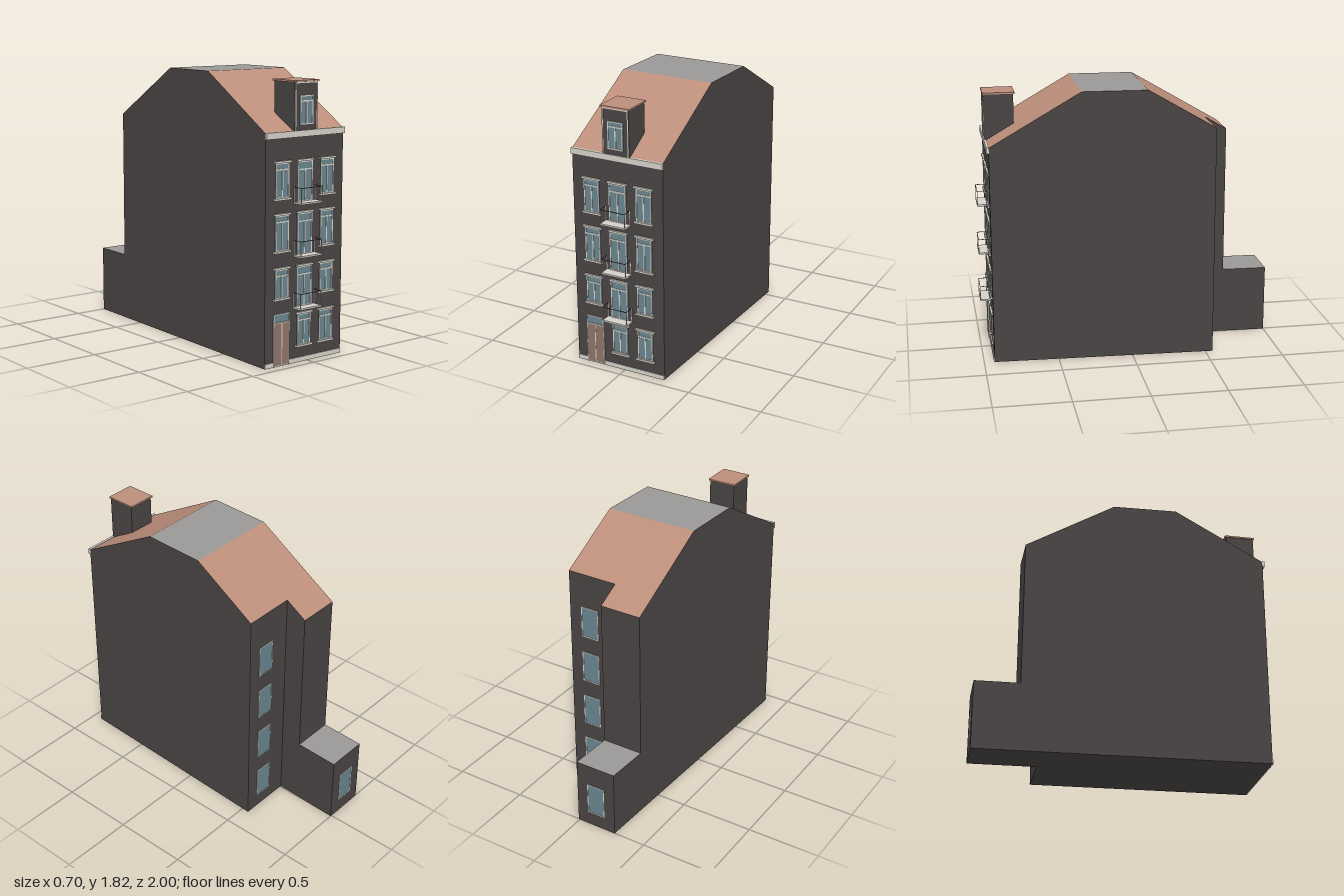
import * as THREE from 'three';

const mat = (name, color) => {
  const m = new THREE.MeshStandardMaterial({ color });
  m.name = name;
  return m;
};

export function createModel() {
  const wall = mat('dark brick', 0x484443);
  const tiles = mat('clay tiles', 0xbd8e7b);
  const flat = mat('grey flat roof', 0x9b9896);
  const trim = mat('cream trim', 0xd4d1c9);
  const glass = mat('blue glass', 0x69858f);
  const wood = mat('brown wood', 0x8f7369);
  const iron = mat('railing iron', 0x5a4641);

  const house = new THREE.Group();
  house.name = 'townHouse';
  const FRONT = 0.93;

  // Box given by its limits
  function box(parent, name, material, x0, x1, y0, y1, z0, z1) {
    const m = new THREE.Mesh(new THREE.BoxGeometry(x1 - x0, y1 - y0, z1 - z0), material);
    m.position.set((x0 + x1) / 2, (y0 + y1) / 2, (z0 + z1) / 2);
    m.name = name;
    parent.add(m);
    return m;
  }

  // Side profile of (z, y) points extruded across x, sheared to the skewed plot;
  // level tops become flat roof, slopes become tiles
  function prism(name, profile, x0, x1) {
    const shape = new THREE.Shape(profile.map(([z, y]) => new THREE.Vector2(z, y)));
    const g = new THREE.ExtrudeGeometry(shape, { depth: x1 - x0, bevelEnabled: false });
    g.rotateY(-Math.PI / 2);
    g.translate(x1, 0, 0);
    const p = g.attributes.position;
    for (let i = 0; i < p.count; i++) p.setX(i, p.getX(i) + 0.038 * (FRONT - p.getZ(i)));
    g.computeVertexNormals();
    g.clearGroups();
    for (let i = 0; i < p.count; i += 3) {
      const ny = g.attributes.normal.getY(i);
      g.addGroup(i, 3, ny > 0.99 ? 2 : ny > 0.3 ? 1 : 0);
    }
    const m = new THREE.Mesh(g, [wall, tiles, flat]);
    m.name = name;
    house.add(m);
  }

  prism('mainBuilding', [[-0.55, 0], [FRONT, 0], [FRONT, 1.47], [0.33, 1.82], [-0.1, 1.82], [-0.55, 1.5575]], -0.35, 0.29);
  prism('rearWing', [[-0.7, 0], [-0.55, 0], [-0.55, 1.5575], [-0.7, 1.47]], -0.35, -0.065);
  prism('rearAnnex', [[-1, 0], [-0.7, 0], [-0.7, 0.46], [-1, 0.46]], -0.35, -0.065);

  // Plinth and cornice
  box(house, 'plinth', trim, -0.35, 0.29, 0, 0.03, FRONT, FRONT + 0.005);
  box(house, 'cornice', trim, -0.352, 0.292, 1.435, 1.475, FRONT - 0.002, FRONT + 0.015);

  // Four thin bars around an opening
  function frame(parent, x0, x1, y0, y1, z, t, d) {
    box(parent, 'frameLeft', trim, x0, x0 + t, y0, y1, z, z + d);
    box(parent, 'frameRight', trim, x1 - t, x1, y0, y1, z, z + d);
    box(parent, 'frameTop', trim, x0 + t, x1 - t, y1 - t, y1, z, z + d);
    box(parent, 'frameBottom', trim, x0 + t, x1 - t, y0, y0 + t, z, z + d);
  }

  // Casement window: glass, frame, transom and mullion
  function casement(name, cx, w, y0, y1, z, transom) {
    const g = new THREE.Group();
    g.name = name;
    house.add(g);
    const x0 = cx - w / 2, x1 = cx + w / 2;
    box(g, 'glass', glass, x0, x1, y0, y1, z, z + 0.003);
    frame(g, x0, x1, y0, y1, z, 0.007, 0.006);
    box(g, 'transom', trim, x0, x1, y1 - transom - 0.009, y1 - transom, z, z + 0.006);
    box(g, 'mullion', trim, cx - 0.004, cx + 0.004, y0, y1 - transom, z, z + 0.006);
    return g;
  }

  // Projecting lintel or sill
  const ledge = (g, name, cx, w, y) =>
    box(g, name, trim, cx - w / 2, cx + w / 2, y, y + 0.013, FRONT, FRONT + 0.013);

  // Balcony: slab, posts and rails
  function balcony(y) {
    const g = new THREE.Group();
    g.name = 'balcony';
    house.add(g);
    const x0 = -0.118, x1 = 0.058, top = y + 0.105;
    box(g, 'slab', trim, x0, x1, y, y + 0.011, FRONT, 1);
    for (const x of [x0, x1 - 0.004]) {
      box(g, 'post', trim, x, x + 0.004, y + 0.011, top, 0.996, 1);
      box(g, 'wallPost', trim, x, x + 0.004, y + 0.011, top, FRONT, FRONT + 0.004);
      box(g, 'sideRail', iron, x, x + 0.003, top - 0.003, top, FRONT, 1);
    }
    box(g, 'frontRail', iron, x0, x1, top - 0.004, top, 0.997, 1);
  }

  // Front windows by floor: sill top, lintel base, balcony slab base
  const floors = [
    [0.112, 0.312, null], [0.435, 0.618, 0.352], [0.735, 0.957, 0.685], [1.065, 1.283, 1.02],
  ];
  floors.forEach(([y0, y1, slab], i) => {
    for (const cx of [-0.216, -0.03, 0.155]) {
      if (i === 0 && cx < -0.1) continue; // door bay
      const tall = slab !== null && cx === -0.03;
      const g = casement('frontWindow', cx, tall ? 0.122 : 0.108, tall ? slab + 0.01 : y0, y1, FRONT, tall ? 0.047 : 0.036);
      ledge(g, 'lintel', cx, 0.136, y1);
      if (!tall) ledge(g, 'sill', cx, 0.136, y0 - 0.013);
    }
    if (slab !== null) balcony(slab);
  });

  // Double front door with fanlight
  const door = new THREE.Group();
  door.name = 'frontDoor';
  house.add(door);
  for (const [a, b] of [[-0.275, -0.218], [-0.212, -0.156]])
    box(door, 'doorLeaf', wood, a, b, 0.008, 0.277, FRONT, FRONT + 0.008);
  box(door, 'doorGap', trim, -0.218, -0.212, 0.008, 0.277, FRONT, FRONT + 0.009);
  box(door, 'fanlight', glass, -0.275, -0.156, 0.285, 0.332, FRONT, FRONT + 0.004);
  frame(door, -0.28, -0.151, 0.277, 0.337, FRONT, 0.006, 0.009);
  for (const x of [-0.28, -0.156])
    box(door, 'doorJamb', trim, x, x + 0.005, 0, 0.277, FRONT, FRONT + 0.009);

  // Dormer
  box(house, 'dormerBody', wall, -0.125, 0.063, 1.465, 1.775, 0.745, 0.938);
  box(house, 'dormerRoof', tiles, -0.132, 0.07, 1.773, 1.784, 0.735, 0.946);
  for (const x of [-0.122, 0.053])
    box(house, 'dormerTrim', trim, x, x + 0.007, 1.475, 1.772, 0.938, 0.941);
  box(house, 'dormerTrim', trim, -0.122, 0.06, 1.765, 1.772, 0.938, 0.941);
  casement('dormerWindow', -0.031, 0.108, 1.51, 1.69, 0.938, 0.03);

  // Plain rear windows
  function rearWindow(cx, cy, z) {
    const g = new THREE.Group();
    g.name = 'rearWindow';
    g.position.set(cx, cy, z);
    g.rotation.y = Math.PI;
    house.add(g);
    box(g, 'glass', glass, -0.062, 0.062, -0.108, 0.108, 0, 0.003);
    frame(g, -0.065, 0.065, -0.11, 0.11, 0, 0.006, 0.005);
  }
  for (let i = 0; i < 4; i++) rearWindow(0.192, 0.2 + i * 0.337, -0.55);
  rearWindow(-0.135, 0.205, -0.998);

  return house;
}
